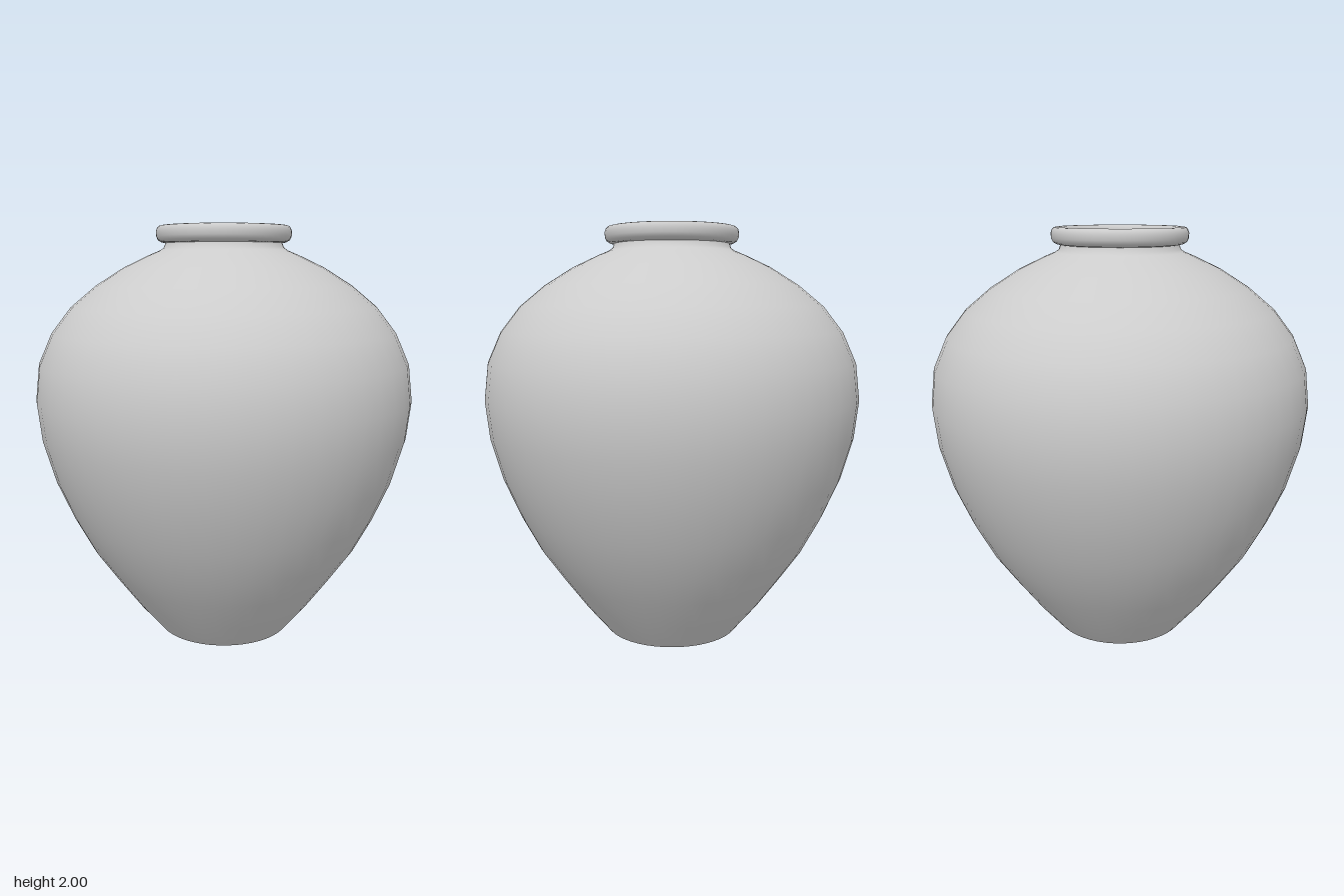
import * as THREE from 'three';

const SEGMENTS = 48;
const material = new THREE.MeshStandardMaterial({ color: 0xcccccc });

// Revolve a profile of [radius, height] points; smooth along its length
function revolve(name, profile) {
  const points = profile.map(([r, y]) => new THREE.Vector2(r, y));
  const mesh = new THREE.Mesh(new THREE.LatheGeometry(points, SEGMENTS), material);
  mesh.name = name;
  return mesh;
}

export function createModel() {
  const jar = new THREE.Group();
  jar.name = 'jar';

  // Narrow foot swelling to a high shoulder
  const wall = [
    [0.33, 0], [0.45, 0.145], [0.56, 0.295], [0.665, 0.445], [0.755, 0.615],
    [0.835, 0.8], [0.892, 1.0], [0.912, 1.18], [0.892, 1.355], [0.828, 1.5],
    [0.735, 1.62], [0.615, 1.72], [0.48, 1.805], [0.36, 1.862],
  ];
  const neck = [[0.305, 1.885], [0.288, 1.898], [0.28, 1.92]];
  jar.add(revolve('body', [...wall, ...neck]));

  // Flat underside
  jar.add(revolve('base', [[0, 0], [0.33, 0]]));

  // Rolled lip
  jar.add(revolve('lip', [
    [0.278, 1.918], [0.3, 1.922], [0.316, 1.932], [0.324, 1.95], [0.325, 1.972],
    [0.32, 1.988], [0.311, 1.997], [0.3, 2.0], [0.289, 1.998], [0.281, 1.991], [0.278, 1.98],
  ]));

  // Inside of the mouth
  jar.add(revolve('mouth', [[0.278, 1.98], [0.278, 1.92], [0.27, 1.895], [0.275, 1.87]]));

  // Hollow interior, following the wall at an even thickness
  const hollow = wall.slice(1).reverse().map(([r, y]) => [r - 0.035, y - (y > 1.4 ? 0.03 : 0)]);
  jar.add(revolve('interior', [[0.275, 1.87], ...hollow, [0.34, 0.06], [0.2, 0.04], [0, 0.035]]));

  return jar;
}
